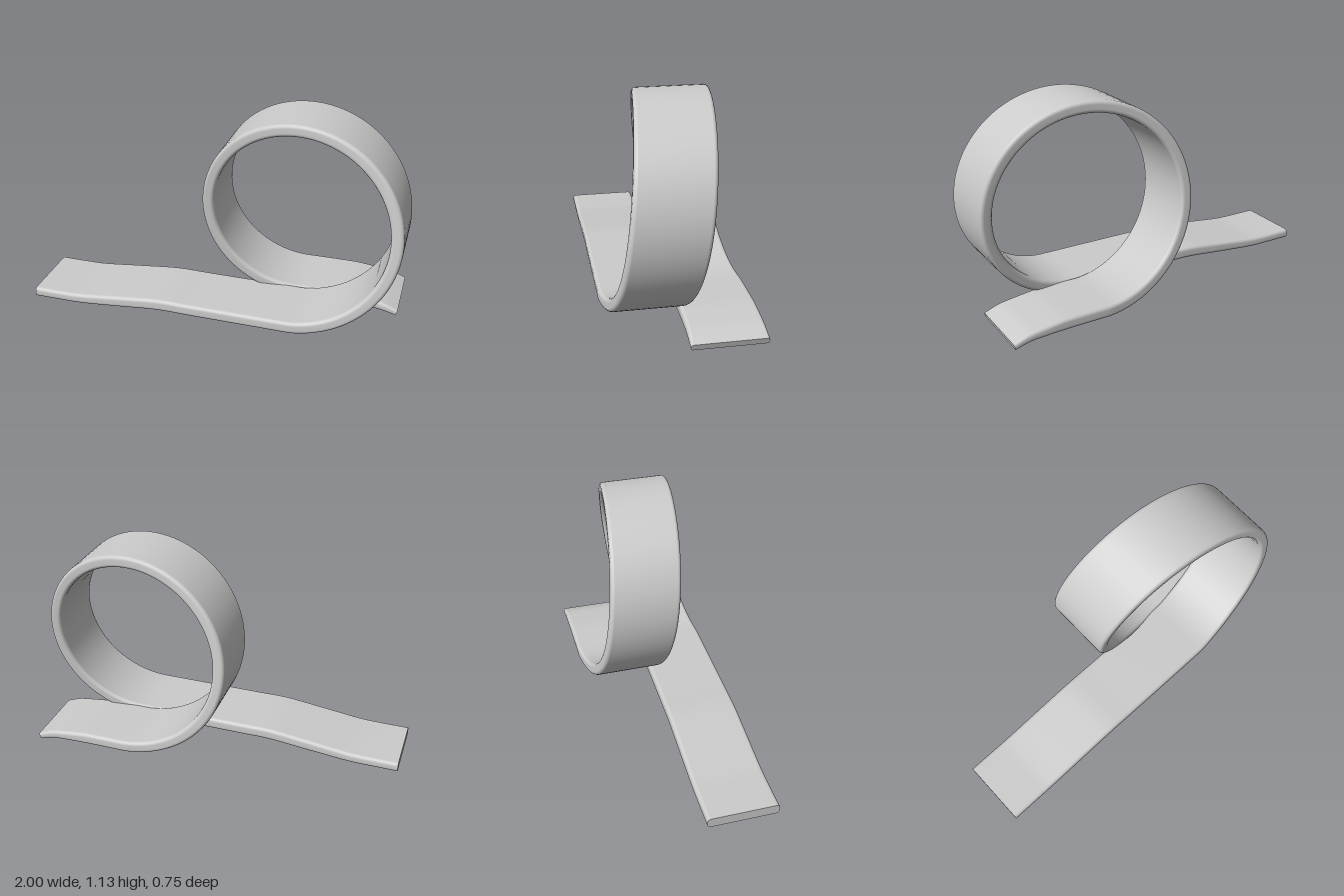
import * as THREE from 'three';

const WIDTH = 0.38;
const CORNER = 0.02;

// Smooth run through stations [x, y, z, thickness]
function smoothRun(stations, steps) {
  const curve = new THREE.CatmullRomCurve3(stations.map(([x, y, z]) => new THREE.Vector3(x, y, z)), false, 'centripetal');
  const n = stations.length - 1;
  return Array.from({ length: steps + 1 }, (_, i) => {
    const t = i / steps;
    const k = Math.min(Math.floor(t * n), n - 1);
    const p = curve.getPoint(t);
    return { p, thick: THREE.MathUtils.lerp(stations[k][3], stations[k + 1][3], t * n - k) };
  });
}

// Rounded-rectangle cross-section as [across the thickness, across the width]
function section(thick) {
  const r = Math.min(CORNER, thick * 0.4);
  const pts = [];
  const corners = [[1, 1], [-1, 1], [-1, -1], [1, -1]];
  corners.forEach(([sv, sz], q) => {
    for (let k = 0; k <= 5; k++) {
      const a = (q + k / 5) * Math.PI / 2;
      pts.push([sv * (thick / 2 - r) + r * Math.cos(a), sz * (WIDTH / 2 - r) + r * Math.sin(a)]);
    }
  });
  return pts;
}

// Sweeps the section along the path; its width always lies along z
function sweepRibbon(path) {
  const pos = [], index = [];
  const rings = path.map(({ p, thick }, i) => {
    const a = path[Math.max(i - 1, 0)].p, b = path[Math.min(i + 1, path.length - 1)].p;
    const len = Math.hypot(b.x - a.x, b.y - a.y);
    const nx = -(b.y - a.y) / len, ny = (b.x - a.x) / len;
    return section(thick).map(([v, w]) => [p.x + nx * v, p.y + ny * v, p.z + w]);
  });
  const m = rings[0].length;
  rings.forEach((ring) => ring.forEach((q) => pos.push(...q)));
  for (let i = 0; i < rings.length - 1; i++) {
    for (let j = 0; j < m; j++) {
      const a = i * m + j, b = i * m + (j + 1) % m;
      index.push(a, b, b + m, a, b + m, a + m);
    }
  }
  // flat end caps with their own vertices
  [[rings[0], true], [rings[rings.length - 1], false]].forEach(([ring, flip]) => {
    const base = pos.length / 3;
    ring.forEach((q) => pos.push(...q));
    for (let j = 1; j < m - 1; j++) {
      if (flip) index.push(base, base + j + 1, base + j);
      else index.push(base, base + j, base + j + 1);
    }
  });
  const geo = new THREE.BufferGeometry();
  geo.setAttribute('position', new THREE.Float32BufferAttribute(pos, 3));
  geo.setIndex(index);
  geo.computeVertexNormals();
  return geo;
}

export function createModel() {
  const group = new THREE.Group();
  group.name = 'loopTrack';

  // approach ramp
  const approach = smoothRun([
    [-1, 0.032, 0.17, 0.055], [-0.86, 0.032, 0.171, 0.055], [-0.74, 0.034, 0.172, 0.056],
    [-0.5, 0.058, 0.175, 0.062], [-0.27, 0.081, 0.178, 0.065], [-0.1, 0.081, 0.18, 0.065],
    [0.2, 0.081, 0.183, 0.065], [0.45, 0.081, 0.185, 0.065],
  ], 56);

  // full loop drifting from front to back
  const loop = [];
  for (let i = 1; i < 96; i++) {
    const a = (i / 96) * Math.PI * 2;
    loop.push({
      p: new THREE.Vector3(0.45 + 0.515 * Math.sin(a), 0.592 - 0.511 * Math.cos(a), 0.187 * (1 - a / Math.PI) + 0.006 * Math.sin(a)),
      thick: 0.065,
    });
  }

  // exit tail, thinning to its tip
  const tail = smoothRun([
    [0.45, 0.081, -0.187, 0.065], [0.58, 0.081, -0.187, 0.065], [0.7, 0.08, -0.187, 0.064],
    [0.8, 0.073, -0.187, 0.056], [0.89, 0.063, -0.186, 0.048], [0.975, 0.038, -0.186, 0.034],
  ], 30);

  const ribbon = new THREE.Mesh(
    sweepRibbon([...approach, ...loop, ...tail]),
    new THREE.MeshStandardMaterial({ color: 0xcccccc }),
  );
  ribbon.name = 'trackRibbon';
  group.add(ribbon);
  return group;
}
